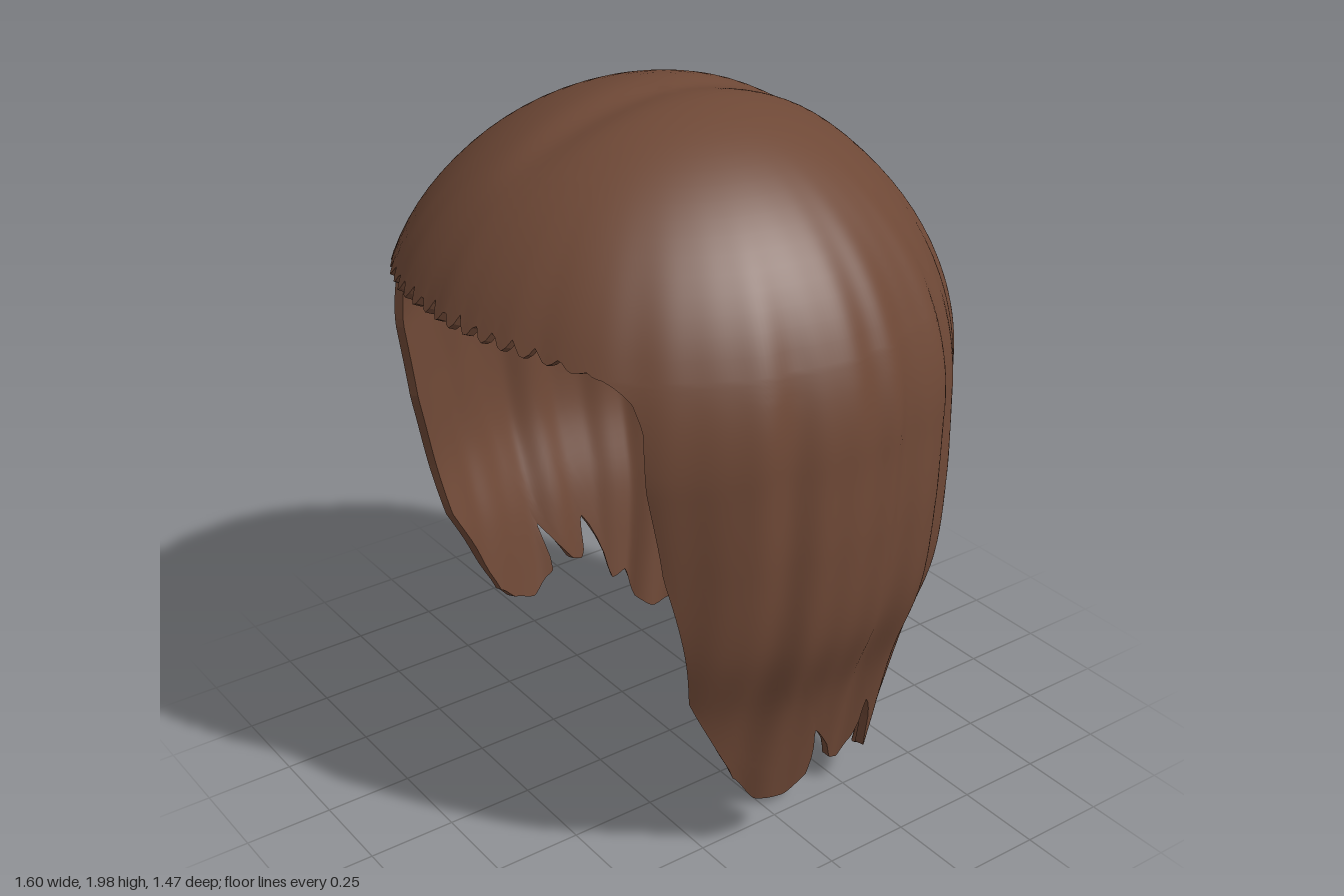
import * as THREE from 'three';

const COLS = 360, UP = 20, LOW = 42, CUT = 1.51, FRONT = 42, THICK = 0.025;
const RAD = Math.PI / 180;

// linear lookup in a list of [key, value], keys ascending
function lookup(list, k, ease = false) {
  if (k <= list[0][0]) return list[0][1];
  for (let i = 1; i < list.length; i++) {
    const [k0, v0] = list[i - 1], [k1, v1] = list[i];
    if (k <= k1) {
      let t = (k - k0) / (k1 - k0);
      if (ease) t = (t + t * t * (3 - 2 * t)) / 2;
      return v0 + (v1 - v0) * t;
    }
  }
  return list[list.length - 1][1];
}

// angle of the face opening's side edge at each height
const edgeAngle = [[0, 75], [0.3, 72], [0.6, 58], [1, 51], [1.4, 49.5], [1.46, 47.5], [1.49, 45], [CUT, FRONT]];

// ragged hem: alternating lock tips and notches around the back, 0 = front, + = model's left
const hem = [
  [-180, 0.15], [-175, 0.27], [-170, 0.12], [-165, 0.08], [-160, 0.1], [-156, 0.23], [-150, 0.1], [-142, 0.07],
  [-138, 0.12], [-135, 0.24], [-129, 0.13], [-120, 0.1], [-116, 0.13], [-112, 0.22], [-108, 0.2], [-104, 0.42],
  [-99, 0.28], [-95, 0.29], [-92, 0.44], [-89, 0.27], [-82, 0.21], [-76, 0.24], [-72, 0.29],
  [72, 0.29], [77, 0.2], [84, 0.18], [90, 0.22], [94, 0.38], [98, 0.24], [104, 0.2], [108, 0.25], [112, 0.38],
  [117, 0.16], [124, 0.12], [130, 0.14], [137, 0.28], [142, 0.11], [150, 0.09], [155, 0.11], [159, 0.21],
  [163, 0.06], [168, 0.01], [172, 0.03], [180, 0.15],
];

// half width, front depth and back depth below the widest level, every 0.25 down
const lower = new THREE.CatmullRomCurve3([
  [0.79, 0.79, 0.735], [0.795, 0.74, 0.73], [0.77, 0.72, 0.715],
  [0.68, 0.72, 0.67], [0.625, 0.74, 0.605], [0.58, 0.74, 0.53],
].map((p) => new THREE.Vector3(...p)), false, 'catmullrom');

function section(y) {
  if (y < 1.25) return lower.getPoint(Math.min(1, 1 - y / 1.25));
  const k = Math.sqrt(Math.max(0, 1 - ((y - 1.25) / 0.75) ** 2));
  return new THREE.Vector3(0.79 * k, 0.79 * k, 0.735 * k);
}

// turn side columns backwards so that they follow the opening's edge
function warp(deg, edge) {
  if (Math.abs(deg) < FRONT) return deg;
  return Math.sign(deg) * (180 - (180 - Math.abs(deg)) * (180 - edge) / (180 - FRONT));
}

function surfacePoint(deg, y) {
  const a = warp(deg, lookup(edgeAngle, y)) * RAD;
  const s = section(y);
  // strand ripples, fading toward the crown and the front
  const fade = THREE.MathUtils.smoothstep(2 - y, 0.05, 0.75) * (0.35 + 0.65 * THREE.MathUtils.smoothstep(Math.abs(a), 0.9, 1.6));
  const sway = 1.2 * Math.sin(2.6 * y + Math.cos(a));
  const wave = 0.6 * Math.sin(13 * a + sway) + 0.6 * Math.sin(22 * a + 1 + 1.4 * sway) + 0.3 * Math.sin(37 * a + sway);
  const k = 1 + 0.016 * fade * wave;
  const x = s.x * k * Math.sin(a);
  const z = (Math.cos(a) > 0 ? s.y : s.z) * k * Math.cos(a);
  // shallow parting dip at the crown
  const dip = 0.018 * Math.exp(-((x / 0.07) ** 2)) * THREE.MathUtils.smoothstep(y, 1.8, 1.98);
  return [x, y - dip, z];
}

// height where the dome ends: scalloped fringe in front, plain level elsewhere
function domeEnd(deg) {
  const u = Math.abs(deg) / FRONT;
  if (u >= 1) return CUT;
  const tooth = Math.abs(Math.sin(Math.sin(deg * RAD) / Math.sin(FRONT * RAD) * 8.5 * Math.PI));
  return CUT + 0.033 * (1 - u * u) + 0.04 * (1 - tooth) * (1 - u ** 4);
}

function outerShell() {
  const pos = [...surfacePoint(180, 2)], index = [];
  const at = (r, c) => 1 + (r - 1) * COLS + (c % COLS);
  for (let r = 1; r <= UP + LOW; r++) {
    for (let c = 0; c < COLS; c++) {
      const deg = c - 180;
      const end = domeEnd(deg);
      let y = 2 - (2 - end) * Math.min(1, r / UP) ** 2;
      if (r > UP && Math.abs(deg) >= FRONT) {
        const t = ((r - UP) / LOW) ** 1.2;
        y = CUT + (lookup(hem, warp(deg, 72), true) - CUT) * t;
      }
      pos.push(...surfacePoint(deg, y));
    }
  }
  for (let c = 0; c < COLS; c++) {
    index.push(0, at(1, c), at(1, c + 1));
    const mid = c + 0.5 - 180;
    const rows = Math.abs(mid) < FRONT ? UP : UP + LOW;
    for (let r = 1; r < rows; r++) {
      const p = at(r, c), q = at(r + 1, c), s = at(r + 1, c + 1), t = at(r, c + 1);
      index.push(p, q, s, p, s, t);
    }
  }
  return makeGeometry(pos, index);
}

function makeGeometry(pos, index) {
  const g = new THREE.BufferGeometry();
  g.setAttribute('position', new THREE.Float32BufferAttribute(pos, 3));
  g.setIndex(index);
  g.computeVertexNormals();
  return g;
}

// same surface moved inward and facing the other way
function innerShell(outer) {
  const p = outer.attributes.position.array, n = outer.attributes.normal.array;
  const pos = Array.from(p, (v, i) => v - n[i] * THICK);
  const src = outer.index.array, index = [];
  for (let i = 0; i < src.length; i += 3) index.push(src[i], src[i + 2], src[i + 1]);
  return makeGeometry(pos, index);
}

// strip joining both shells along every open edge
function rimStrip(outer, inner) {
  const idx = outer.index.array, edges = new Set(), pos = [], index = [];
  const key = (a, b) => a * 100000 + b;
  const each = (fn) => {
    for (let i = 0; i < idx.length; i += 3)
      for (let j = 0; j < 3; j++) fn(idx[i + j], idx[i + (j + 1) % 3]);
  };
  const copy = (g, i) => {
    const p = g.attributes.position;
    pos.push(p.getX(i), p.getY(i), p.getZ(i));
  };
  each((a, b) => edges.add(key(a, b)));
  each((a, b) => {
    if (edges.has(key(b, a))) return;
    const n = pos.length / 3;
    copy(outer, a); copy(outer, b); copy(inner, a); copy(inner, b);
    index.push(n, n + 2, n + 1, n + 1, n + 2, n + 3);
  });
  return makeGeometry(pos, index);
}

export function createModel() {
  const group = new THREE.Group();
  group.name = 'bobHair';
  const brown = new THREE.MeshStandardMaterial({ color: 0x6e4836, side: THREE.DoubleSide });
  brown.name = 'chestnutBrown';

  const outer = outerShell();
  const inner = innerShell(outer);
  const parts = { outerHair: outer, innerHair: inner, hairEdge: rimStrip(outer, inner) };
  for (const [name, geometry] of Object.entries(parts)) {
    const mesh = new THREE.Mesh(geometry, brown);
    mesh.name = name;
    group.add(mesh);
  }
  return group;
}
